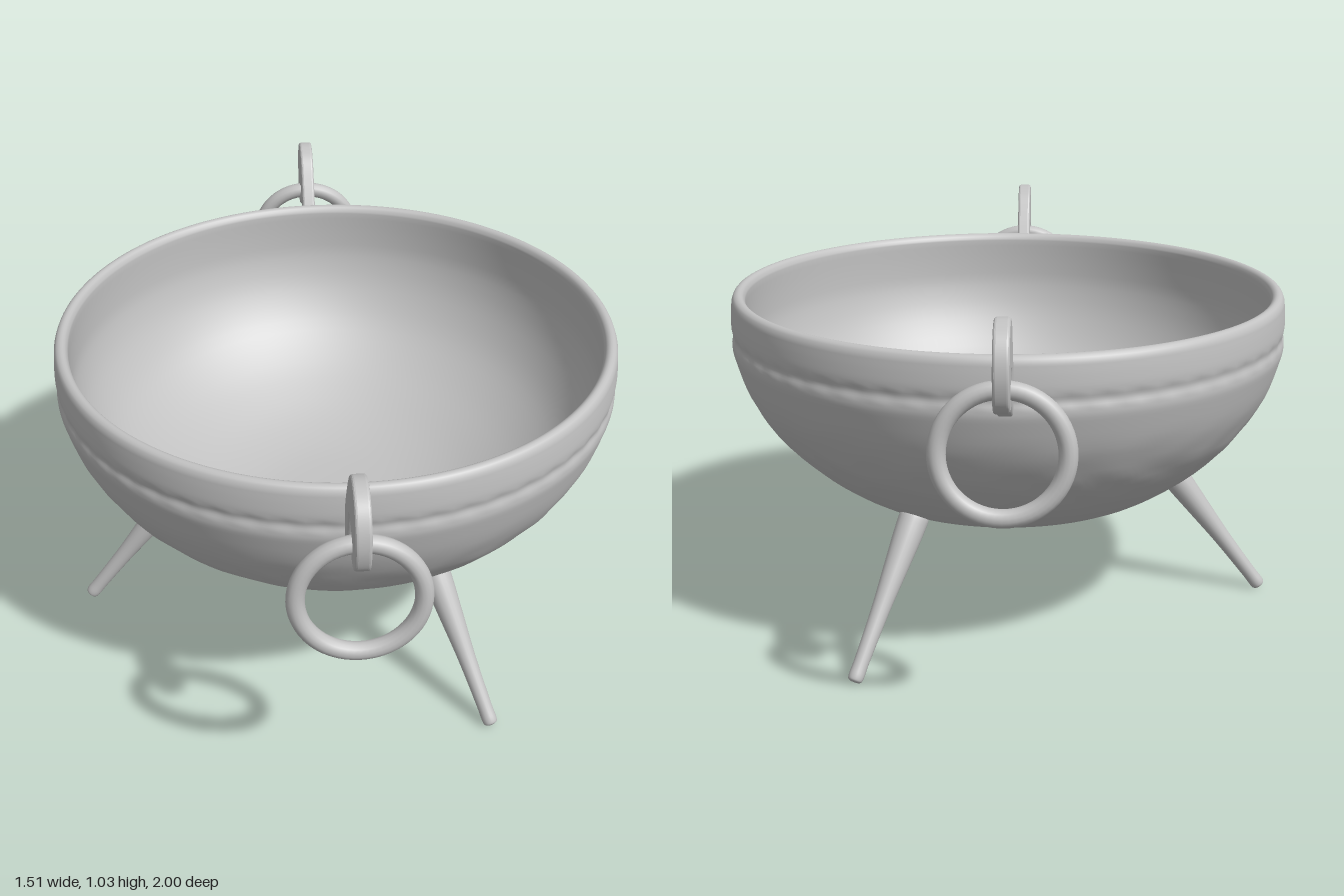
import * as THREE from 'three';
import { mergeVertices } from 'three/addons/utils/BufferGeometryUtils.js';

const metal = new THREE.MeshStandardMaterial({ color: 0xc2c2c2 });
metal.name = 'light grey metal';

const v2 = (list) => list.map(([x, y]) => new THREE.Vector2(x, y));

function addMesh(parent, name, geometry) {
  const mesh = new THREE.Mesh(geometry, metal);
  mesh.name = name;
  parent.add(mesh);
  return mesh;
}

// Smooth bump: 1 at the centre, 0 beyond the half width
const bump = (t, centre, half) => Math.max(0, 1 - ((t - centre) / half) ** 2);

// Hollow bowl with a beaded groove and shallow hammered relief on the belly
function bowlGeometry() {
  const outer = new THREE.SplineCurve(v2([
    [0, 0.287], [0.13, 0.288], [0.25, 0.295], [0.36, 0.325], [0.46, 0.365], [0.57, 0.445],
    [0.66, 0.54], [0.72, 0.64], [0.75, 0.73], [0.756, 0.765], [0.75, 0.79],
    [0.756, 0.815], [0.755, 0.85], [0.752, 0.88],
  ])).getPoints(56);
  const rim = new THREE.SplineCurve(v2([
    [0.752, 0.88], [0.746, 0.894], [0.733, 0.9], [0.721, 0.894], [0.715, 0.88],
  ])).getPoints(10);
  const inner = new THREE.SplineCurve(v2([
    [0.715, 0.88], [0.716, 0.8], [0.71, 0.73], [0.68, 0.64], [0.62, 0.545], [0.53, 0.465],
    [0.43, 0.405], [0.33, 0.362], [0.22, 0.335], [0.1, 0.326], [0, 0.325],
  ])).getPoints(36);
  const profile = [...outer, ...rim.slice(1), ...inner.slice(1)];
  let geo = new THREE.LatheGeometry(profile, 216);
  const pos = geo.attributes.position;
  for (let i = 0; i < pos.count; i++) {
    if (i % profile.length >= outer.length) continue;
    const x = pos.getX(i), y = pos.getY(i), z = pos.getZ(i);
    const a = Math.atan2(z, x);
    const beads = 0.004 * bump(y, 0.79, 0.022) * (0.5 + 0.5 * Math.cos(a * 54));
    const dents = 0.004 * bump(y, 0.53, 0.14)
      * Math.sin(a * 17 + 2 * Math.sin(y * 30)) * Math.sin(y * 34 + 2 * Math.sin(a * 5));
    const k = 1 + beads + dents;
    pos.setXYZ(i, x * k, y, z * k);
  }
  geo.deleteAttribute('uv');
  geo.deleteAttribute('normal');
  geo = mergeVertices(geo, 1e-4);
  geo.computeVertexNormals();
  return geo;
}

// Tapering leg, its foot at the origin and its length along +y
function legGeometry(length) {
  const points = new THREE.SplineCurve(v2([
    [0, 0], [0.014, 0.002], [0.02, 0.014], [0.02, 0.06], [0.024, length * 0.4],
    [0.032, length * 0.65], [0.039, length * 0.88], [0.035, length * 0.97], [0, length],
  ])).getPoints(40).map((p) => new THREE.Vector2(Math.max(p.x, 0), p.y));
  return new THREE.LatheGeometry(points, 20);
}

// Curled hook plate, drawn in the outward/up plane
function hookGeometry() {
  const shape = new THREE.Shape();
  shape.moveTo(0.735, 0.77);
  shape.lineTo(0.745, 0.835);
  shape.splineThru(v2([
    [0.765, 0.88], [0.80, 0.94], [0.84, 0.995], [0.88, 1.018], [0.92, 1.02], [0.96, 1.0],
    [0.985, 0.96], [0.992, 0.91], [0.98, 0.86], [0.955, 0.835], [0.925, 0.828],
  ]));
  shape.lineTo(0.905, 0.85);
  shape.splineThru(v2([
    [0.918, 0.872], [0.91, 0.893], [0.885, 0.907], [0.855, 0.908], [0.828, 0.89],
    [0.808, 0.84], [0.79, 0.79], [0.77, 0.77], [0.735, 0.77],
  ]));
  const geo = new THREE.ExtrudeGeometry(shape, {
    depth: 0.024, curveSegments: 36, bevelEnabled: true,
    bevelSize: 0.007, bevelThickness: 0.007, bevelSegments: 3,
  });
  geo.translate(0, 0, -0.012);
  geo.rotateY(-Math.PI / 2);
  return geo;
}

export function createModel() {
  const model = new THREE.Group();
  model.name = 'threeLeggedBowl';

  addMesh(model, 'bowl', bowlGeometry());

  // Three splayed legs
  const foot = new THREE.Vector3(0.735, 0.005, 0);
  const top = new THREE.Vector3(0.445, 0.385, 0);
  const along = top.clone().sub(foot);
  const legGeo = legGeometry(along.length());
  const lean = new THREE.Quaternion().setFromUnitVectors(
    new THREE.Vector3(0, 1, 0), along.clone().normalize());
  for (const angle of [Math.PI / 3, Math.PI, -Math.PI / 3]) {
    const holder = new THREE.Group();
    holder.name = 'legHolder';
    holder.rotation.y = angle;
    const leg = addMesh(holder, 'leg', legGeo);
    leg.position.copy(foot);
    leg.quaternion.copy(lean);
    model.add(holder);
  }

  // Front and back handles: hook, knob at its tip, hanging ring
  const hookGeo = hookGeometry();
  const knobGeo = new THREE.SphereGeometry(0.034, 20, 14);
  const ringGeo = new THREE.TorusGeometry(0.146, 0.022, 14, 56);
  for (const [name, angle] of [['frontHandle', 0], ['backHandle', Math.PI]]) {
    const handle = new THREE.Group();
    handle.name = name;
    handle.position.x = -0.022;
    handle.rotation.y = angle;
    addMesh(handle, 'hook', hookGeo);
    const knob = addMesh(handle, 'hookTip', knobGeo);
    knob.position.set(0, 0.855, 0.9);
    knob.scale.x = 0.6;
    const ring = addMesh(handle, 'ring', ringGeo);
    ring.position.set(0, 0.725, 0.928);
    ring.rotation.x = -0.09;
    model.add(handle);
  }
  return model;
}
